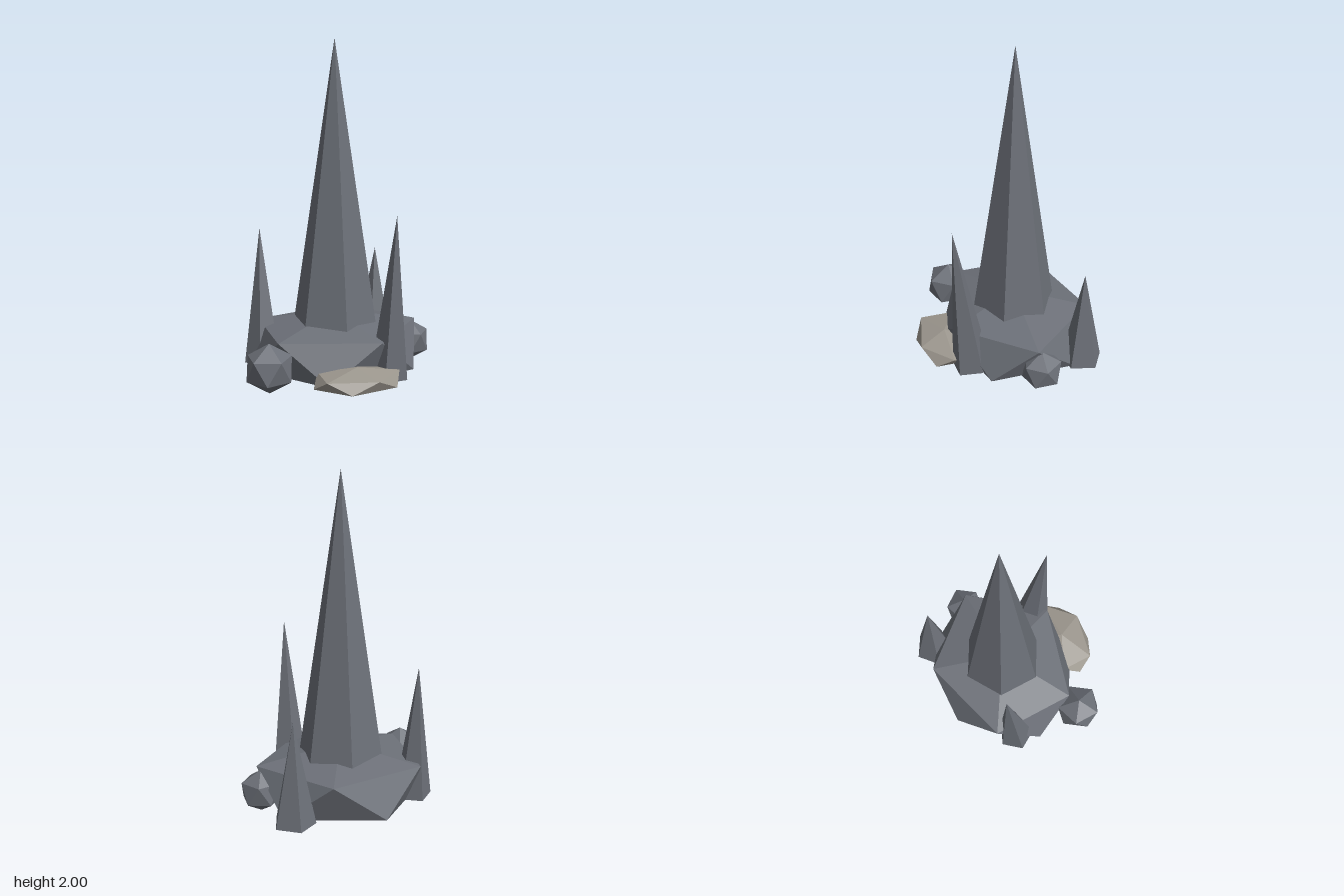
import * as THREE from 'three';

export function createModel() {
  const model = new THREE.Group();
  const slateRock = new THREE.MeshStandardMaterial({ color: 0x6c7078, flatShading: true });
  const paleStone = new THREE.MeshStandardMaterial({ color: 0x9c978e, flatShading: true });
  slateRock.name = 'slateRock';
  paleStone.name = 'paleStone';

  function add(name, geometry, material, x, y, z) {
    const mesh = new THREE.Mesh(geometry, material);
    mesh.name = name;
    mesh.position.set(x, y, z);
    model.add(mesh);
    return mesh;
  }

  // Icosahedron standing on a corner; rx, rz are the ring radii, pole and ring the heights
  function rock(rx, rz, pole, ring) {
    const g = new THREE.IcosahedronGeometry(1, 0);
    g.rotateZ(-Math.atan(2 / (1 + Math.sqrt(5))));
    const p = g.attributes.position;
    for (let i = 0; i < p.count; i++) {
      const y = p.getY(i);
      const height = Math.abs(y) > 0.9 ? pole : ring;
      p.setXYZ(i, (p.getX(i) / 0.8944) * rx, Math.sign(y) * height, (p.getZ(i) / 0.8944) * rz);
    }
    g.computeVertexNormals();
    return g;
  }

  // Pointed spire with its foot at the origin, turned and then leaned forward or back
  function spire(radius, height, sides, turn = 0, lean = 0) {
    const g = new THREE.ConeGeometry(radius, height, sides);
    g.translate(0, height / 2, 0);
    g.rotateY(THREE.MathUtils.degToRad(turn));
    g.rotateX(lean);
    return g;
  }

  // Main mass and tall central spire
  add('baseRock', rock(0.5, 0.432, 0.21, 0.115), slateRock, 0, 0.21, -0.08);
  add('mainSpire', spire(0.27, 1.8, 6), slateRock, 0, 0.2, -0.08);

  // Smaller spires around the edge
  add('frontSpire', spire(0.115, 0.95, 5, 40, 0.1), slateRock, 0.23, 0.105, 0.25);
  add('rightSpire', spire(0.11, 0.8, 5, 49, -0.075), slateRock, -0.405, 0.1, -0.205);
  add('backSpire', spire(0.123, 0.6, 5, 41), slateRock, 0.355, 0.1, -0.397);

  // Loose boulders
  add('rightBoulder', rock(0.13, 0.13, 0.145, 0.065), slateRock, -0.465, 0.2, 0.21);
  add('leftBoulder', rock(0.112, 0.112, 0.125, 0.056), slateRock, 0.48, 0.185, -0.105);

  // Flat pale slab at the front
  add('frontSlab', rock(0.25, 0.168, 0.072, 0.032), paleStone, 0, 0.138, 0.355);

  return model;
}
